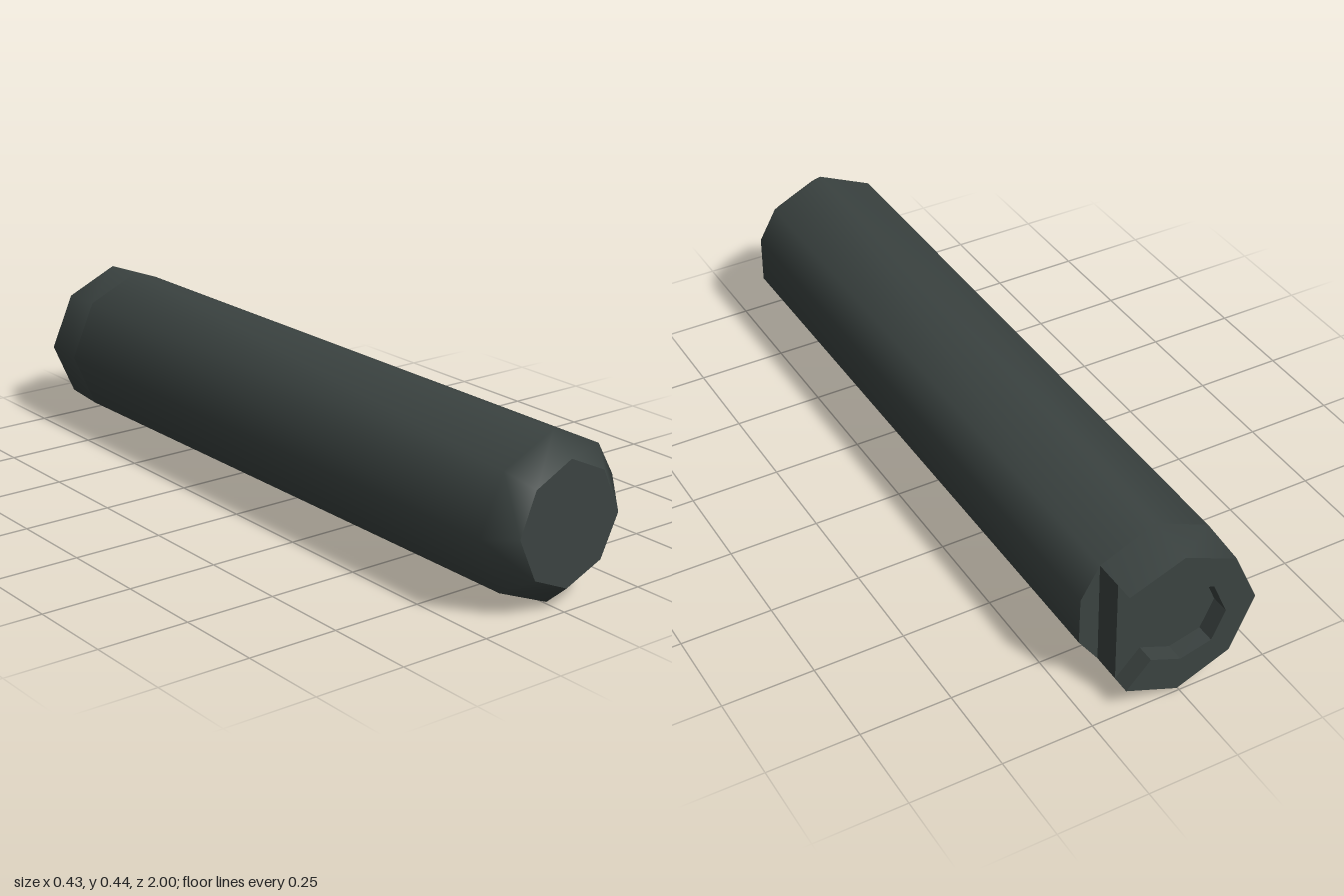
import * as THREE from 'three';

const charcoal = new THREE.MeshStandardMaterial({ color: 0x3b4341 });
charcoal.name = 'charcoal';

// Outer section, counterclockwise from the upper notch corner to the lower one
const outer = [
  [0.162, 0.378], [0.01, 0.445], [-0.146, 0.375], [-0.216, 0.22],
  [-0.148, 0.066], [0.008, 0.002], [0.157, 0.073],
];
const sideFlat = [[0.213, 0.152], [0.213, 0.288]];
// Front end octagon; the right corner is doubled to meet the side flat
const nose = [
  [0.115, 0.34], [0.005, 0.392], [-0.105, 0.338], [-0.152, 0.225],
  [-0.1, 0.108], [0.005, 0.062], [0.115, 0.11], [0.168, 0.22], [0.168, 0.22],
];
// Recess outline, clockwise from the lower notch corner to the upper one
const recess = [
  outer[6], [0.09, 0.145], [0.003, 0.108], [-0.085, 0.13], [-0.122, 0.21],
  [-0.08, 0.307], [0.01, 0.337], [0.11, 0.324], outer[0],
];

// Skin between sections ordered from front to back
function loft(sections, closed, flat) {
  const n = sections[0].pts.length;
  const pos = sections.flatMap(s => s.pts.flatMap(([x, y]) => [x, y, s.z]));
  const index = [];
  for (let r = 0; r < sections.length - 1; r++) {
    for (let i = 0; i < (closed ? n : n - 1); i++) {
      const j = (i + 1) % n, a = r * n + i, b = r * n + j;
      index.push(a, a + n, b, b, a + n, b + n);
    }
  }
  let g = new THREE.BufferGeometry();
  g.setAttribute('position', new THREE.Float32BufferAttribute(pos, 3));
  g.setIndex(index);
  if (flat) g = g.toNonIndexed();
  g.computeVertexNormals();
  return g;
}

// Flat end face at depth z, facing front or back
function endFace(pts, z, back) {
  const g = new THREE.ShapeGeometry(new THREE.Shape(pts.map(p => new THREE.Vector2(...p))));
  if (back) g.setIndex(Array.from(g.index.array).reverse());
  g.translate(0, 0, z);
  g.computeVertexNormals();
  return g;
}

export function createModel() {
  const group = new THREE.Group();
  group.name = 'grip';
  const add = (name, geometry) => {
    const mesh = new THREE.Mesh(geometry, charcoal);
    mesh.name = name;
    group.add(mesh);
  };

  // Main barrel with its chamfered front
  const full = [...outer, ...sideFlat];
  add('barrel', loft([
    { pts: nose, z: 1 }, { pts: full, z: 0.93 }, { pts: full, z: -0.87 },
  ], true));
  add('frontCap', endFace(nose.slice(0, 8), 1));

  // Tapered tail, cut flat on one side; the notch corners stay in line
  const tail = outer.map(([x, y], i) =>
    i === 0 || i === 6 ? [x, y] : [x * 0.96, 0.222 + (y - 0.222) * 0.96]);
  add('tail', loft([{ pts: outer, z: -0.87 }, { pts: tail, z: -1 }], false));
  add('notchStep', endFace([outer[6], ...sideFlat, outer[0]], -0.87, true));
  const flatEdge = [outer[6], outer[0]];
  add('notchFlat', loft([{ pts: flatEdge, z: -0.87 }, { pts: flatEdge, z: -0.95 }], false, true));

  // C-shaped rear rim around a shallow side-opening recess
  add('rearRim', endFace([...tail, ...recess.slice(1, -1)], -1, true));
  add('recessWall', loft([{ pts: recess, z: -0.95 }, { pts: recess, z: -1 }], false, true));
  add('recessFloor', endFace([...recess].reverse(), -0.95, true));
  return group;
}
